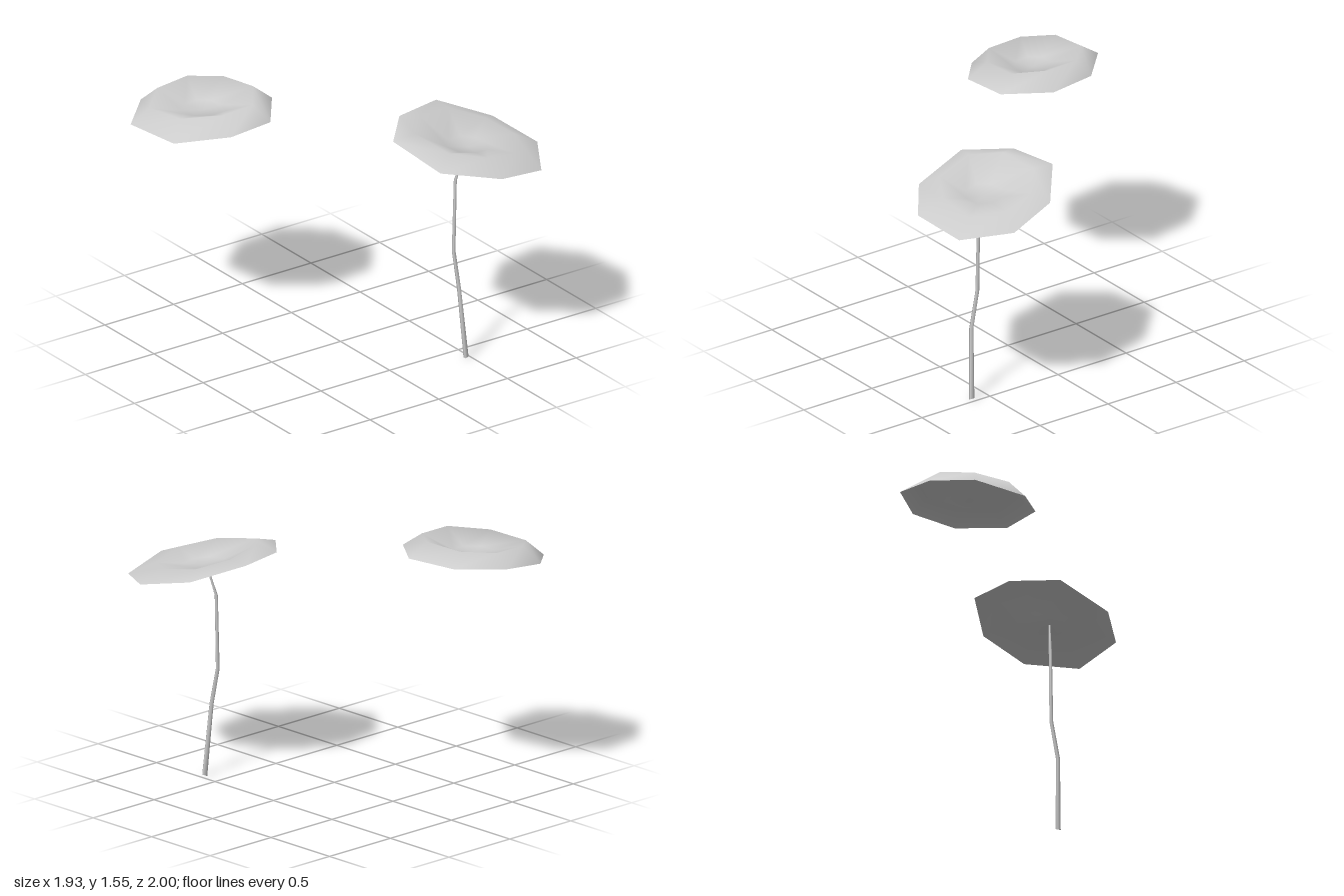
import * as THREE from 'three';

const grey = new THREE.MeshStandardMaterial({ color: 0xcccccc, side: THREE.DoubleSide });
grey.name = 'soft grey';

// Joins rings of equal point count, outside to inside, into one smooth skin
function skin(rings, name) {
  const n = rings[0].length;
  const index = [];
  for (let r = 0; r < rings.length - 1; r++) {
    for (let i = 0; i < n; i++) {
      const j = (i + 1) % n;
      const a = r * n + i, b = r * n + j, c = a + n, d = b + n;
      index.push(a, c, b, b, c, d);
    }
  }
  return finish(rings.flat(), index, name);
}

function finish(points, index, name) {
  const geometry = new THREE.BufferGeometry();
  geometry.setAttribute('position', new THREE.Float32BufferAttribute(points.flat(), 3));
  geometry.setIndex(index);
  geometry.computeVertexNormals();
  const mesh = new THREE.Mesh(geometry, grey);
  mesh.name = name;
  return mesh;
}

// Eight-sided cap: low rim, raised crest, shallow hollow closed by a fan
function makeCap(name, rim, crest, hollow, hollowSize) {
  const n = rim.length;
  const inner = crest.map(([x, y, z]) => [
    hollow[0] + (x - hollow[0]) * hollowSize,
    hollow[1] + (y - hollow[1]) * 0.15,
    hollow[2] + (z - hollow[2]) * hollowSize,
  ]);
  const points = [...rim, ...crest, ...inner, hollow];
  const index = [];
  for (let i = 0; i < n; i++) {
    const j = (i + 1) % n;
    for (let r = 0; r < 2; r++) {
      const a = r * n + i, b = r * n + j;
      index.push(a, a + n, b, b, a + n, b + n);
    }
    index.push(2 * n + i, 3 * n, 2 * n + j);
  }
  return finish(points, index, name);
}

// Thin bent stalk: five-sided rings along a path, closed at both ends
function makeStem() {
  const path = [ // x, y, z, radius
    [0.475, 0.008, 0.615, 0.016],
    [0.44, 0.45, 0.593, 0.013],
    [0.435, 0.68, 0.545, 0.012],
    [0.447, 1.14, 0.545, 0.010],
    [0.505, 1.345, 0.572, 0.005],
  ];
  const ring = ([x, y, z, r]) => Array.from({ length: 5 }, (_, i) => {
    const a = (i / 5) * Math.PI * 2;
    const dx = Math.cos(a) * r, dz = Math.sin(a) * r;
    return [x + dx, y + dx * 0.08 * (y < 0.1 ? 6 : 1), z + dz];
  });
  const rings = path.map(ring);
  const tip = ([x, y, z]) => Array.from({ length: 5 }, () => [x, y, z]);
  return skin([tip(path[0]), ...rings, tip(path[4])], 'stem');
}

export function createModel() {
  const group = new THREE.Group();
  group.name = 'stemmedCaps';

  // Tilted cap carried by the stem
  group.add(makeCap('stemmedCap',
    [[0.09, 1.435, 0.41], [0.30, 1.46, 0.18], [0.61, 1.46, 0.12], [0.87, 1.365, 0.33],
      [0.96, 1.295, 0.66], [0.79, 1.26, 0.94], [0.46, 1.313, 1.0], [0.17, 1.345, 0.78]],
    [[0.22, 1.465, 0.45], [0.36, 1.49, 0.30], [0.60, 1.465, 0.26], [0.77, 1.405, 0.40],
      [0.82, 1.37, 0.62], [0.70, 1.34, 0.80], [0.48, 1.383, 0.83], [0.28, 1.42, 0.71]],
    [0.52, 1.345, 0.57], 0.4));

  // Floating cap
  group.add(makeCap('floatingCap',
    [[-0.97, 1.385, -0.78], [-0.76, 1.42, -0.97], [-0.46, 1.46, -1.0], [-0.23, 1.46, -0.78],
      [-0.17, 1.465, -0.46], [-0.36, 1.45, -0.21], [-0.66, 1.44, -0.19], [-0.92, 1.385, -0.41]],
    [[-0.87, 1.485, -0.73], [-0.71, 1.52, -0.87], [-0.48, 1.53, -0.89], [-0.32, 1.54, -0.74],
      [-0.28, 1.555, -0.50], [-0.41, 1.535, -0.32], [-0.63, 1.53, -0.31], [-0.83, 1.50, -0.47]],
    [-0.57, 1.44, -0.6], 0.4));

  group.add(makeStem());
  return group;
}
